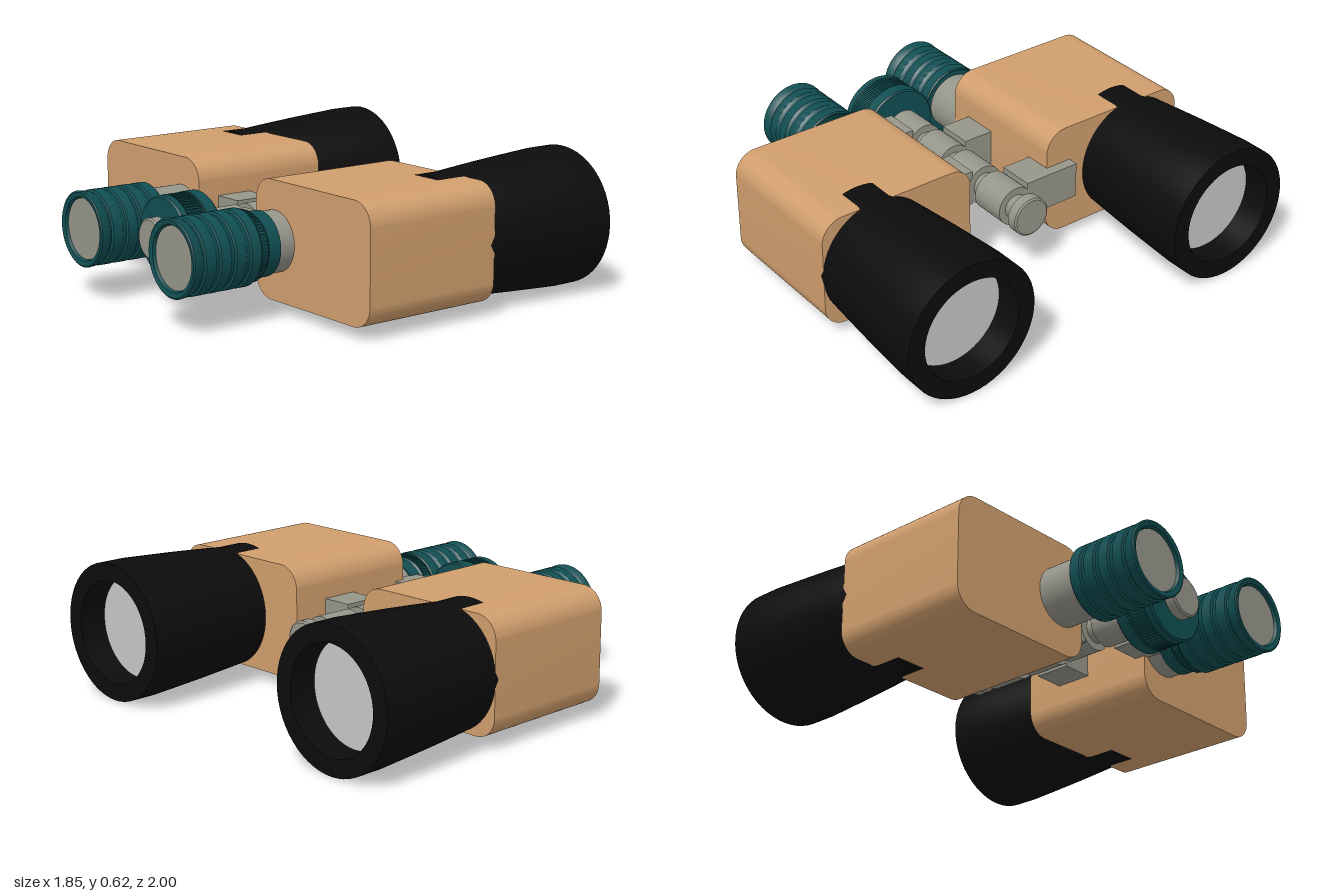
import * as THREE from 'three';
import { toCreasedNormals } from 'three/addons/utils/BufferGeometryUtils.js';

const AXIS_Y = 0.31;
const mat = (name, color) => new THREE.MeshStandardMaterial({ name, color });

export function createModel() {
  const tan = mat('tan leather', 0xd09e6d);
  const black = mat('black rubber', 0x0c0c0c);
  const teal = mat('teal grip', 0x104e52);
  const grey = mat('grey metal', 0x96958a);
  const glass = mat('pale glass', 0xc6c6c6);

  const model = new THREE.Group();
  model.name = 'binoculars';

  const add = (name, geometry, material, z = 0) => {
    const mesh = new THREE.Mesh(geometry, material);
    mesh.name = name;
    mesh.position.set(0, AXIS_Y, z);
    model.add(mesh);
    return mesh;
  };

  // Turned part along x; profile is [x, radius] pairs in order of rising x on the outside
  const turned = (name, profile, material, z = 0) => {
    const g = new THREE.LatheGeometry(profile.map(([x, r]) => new THREE.Vector2(r, x)), 56);
    g.rotateZ(-Math.PI / 2);
    return add(name, toCreasedNormals(g, 0.6), material, z);
  };
  const rod = (name, x0, x1, r, material, z = 0) =>
    turned(name, [[x0, 0], [x0, r], [x1, r], [x1, 0]], material, z);

  // Fine ribs around a turned part
  const knurl = (name, x0, x1, r, count, z = 0) => {
    const ribs = new THREE.InstancedMesh(new THREE.BoxGeometry(x1 - x0, 0.012, 0.008), teal, count);
    const m = new THREE.Matrix4();
    for (let i = 0; i < count; i++) {
      m.makeRotationX((i / count) * Math.PI * 2);
      m.multiply(new THREE.Matrix4().makeTranslation((x0 + x1) / 2, r, 0));
      ribs.setMatrixAt(i, m);
    }
    ribs.name = name;
    ribs.position.set(0, AXIS_Y, z);
    model.add(ribs);
  };

  // Prism housing: rounded section extruded along x
  const housing = () => {
    const w = 0.375, h = 0.259, r = 0.1;
    const s = new THREE.Shape();
    s.moveTo(-w + r, -h);
    s.lineTo(w - r, -h);
    s.absarc(w - r, -h + r, r, -Math.PI / 2, 0);
    s.lineTo(w, h - r);
    s.absarc(w - r, h - r, r, 0, Math.PI / 2);
    s.lineTo(-w + r, h);
    s.absarc(-w + r, h - r, r, Math.PI / 2, Math.PI);
    s.lineTo(-w, -h + r);
    s.absarc(-w + r, -h + r, r, Math.PI, Math.PI * 1.5);
    const g = new THREE.ExtrudeGeometry(s, { depth: 0.67, bevelEnabled: false, curveSegments: 10 });
    g.rotateY(Math.PI / 2);
    g.translate(-0.4, 0, 0);
    return toCreasedNormals(g, 0.6);
  };

  // Ribbed eyecup with a shallow recess at its rear
  const cup = [[-0.9, 0], [-0.9, 0.135], [-0.92, 0.14], [-0.925, 0.16], [-0.92, 0.167], [-0.885, 0.163]];
  for (const x of [-0.875, -0.8, -0.725, -0.65]) {
    cup.push([x, 0.155], [x + 0.006, 0.155], [x + 0.011, 0.165], [x + 0.058, 0.165], [x + 0.064, 0.16]);
  }
  cup.push([-0.59, 0.155], [-0.59, 0]);

  for (const side of [-1, 1]) {
    const label = side > 0 ? 'front' : 'rear';
    const zBarrel = side * 0.69, zEye = side * 0.342;

    add(label + 'Housing', housing(), tan, side * 0.585);

    // Flared objective barrel, open at its end
    turned(label + 'ObjectiveBarrel', [
      [0.13, 0], [0.13, 0.27], [0.25, 0.27], [0.28, 0.273], [0.4, 0.283], [0.53, 0.293],
      [0.67, 0.302], [0.8, 0.31], [0.92, 0.31], [0.92, 0.232], [0.77, 0.232], [0.77, 0],
    ], black, zBarrel);
    rod(label + 'ObjectiveLens', 0.765, 0.79, 0.2315, glass, zBarrel);

    rod(label + 'EyepieceTube', -0.62, -0.38, 0.132, grey, zEye);
    turned(label + 'Eyecup', cup, teal, zEye);
    rod(label + 'EyepieceLens', -0.907, -0.89, 0.134, grey, zEye);
  }

  // Dioptre ring on one eyepiece only
  turned('dioptreRing', [[-0.6, 0], [-0.6, 0.148], [-0.545, 0.148], [-0.535, 0.14], [-0.475, 0.14], [-0.475, 0]], teal, 0.342);
  knurl('dioptreKnurl', -0.59, -0.55, 0.147, 60, 0.342);

  // Focus wheel
  turned('focusWheel', [
    [-0.735, 0], [-0.735, 0.17], [-0.728, 0.178], [-0.7, 0.178], [-0.695, 0.172], [-0.61, 0.172],
    [-0.605, 0.18], [-0.552, 0.18], [-0.545, 0.174], [-0.545, 0],
  ], teal);
  knurl('focusKnurl', -0.697, -0.608, 0.172, 72);

  // Central axle with end caps
  rod('axle', -0.78, 0.41, 0.057, grey);
  for (const [name, x0, x1] of [['axleRearCap', -0.8, -0.745], ['axleFrontCap', 0.372, 0.43]]) {
    const b = 0.006;
    turned(name, [[x0, 0], [x0, 0.082], [x0 + b, 0.09], [x1 - b, 0.09], [x1, 0.082], [x1, 0]], grey);
  }

  // Hinge knuckles, with arms reaching alternately to each housing
  [-0.435, -0.212, 0.01, 0.233].forEach((x, i) => {
    rod('hingeKnuckle' + (i + 1), x - 0.086, x + 0.086, 0.09, grey);
    const arm = add('hingeArm' + (i + 1), new THREE.BoxGeometry(0.17, 0.168, 0.275), grey, (i % 2 ? -1 : 1) * 0.2025);
    arm.position.x = x;
    arm.position.y = AXIS_Y + 0.006;
  });

  return model;
}
